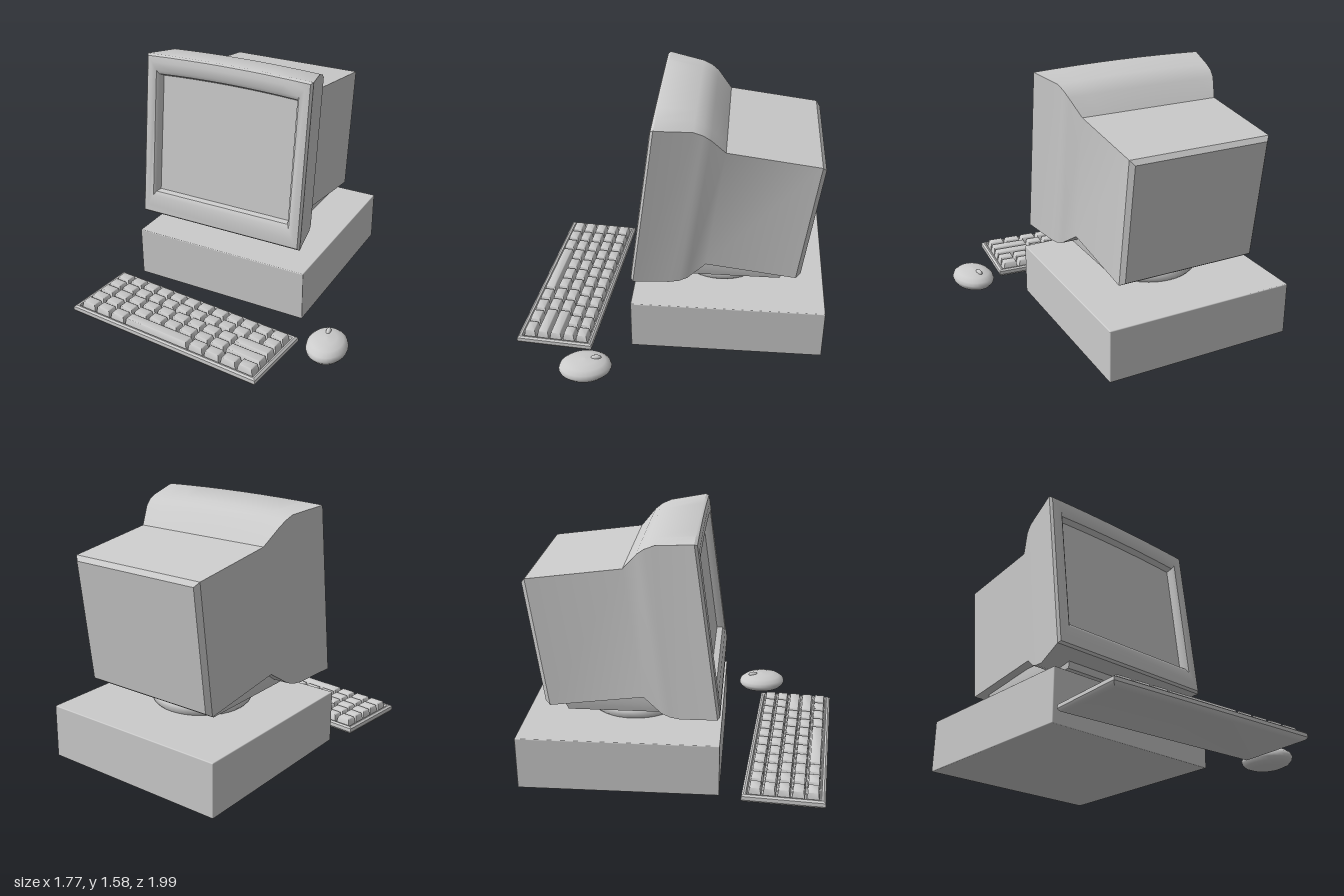
import * as THREE from 'three';
import { toCreasedNormals } from 'three/addons/utils/BufferGeometryUtils.js';
import { RoundedBoxGeometry } from 'three/addons/geometries/RoundedBoxGeometry.js';

const grey = new THREE.MeshStandardMaterial({ color: 0xcccccc });
const ARCH_STEPS = 8;

function add(parent, geometry, name, x = 0, y = 0, z = 0) {
  const mesh = new THREE.Mesh(geometry, grey);
  mesh.name = name;
  mesh.position.set(x, y, z);
  parent.add(mesh);
  return mesh;
}

// Rectangle outline at a given depth behind z = 0, with a gently arched top edge
function ring([depth, half, bottom, top, arch = 0]) {
  const pts = [[-half, bottom, -depth], [half, bottom, -depth]];
  for (let i = 0; i <= ARCH_STEPS; i++) {
    const t = 1 - (2 * i) / ARCH_STEPS;
    pts.push([half * t, top + arch * (1 - t * t), -depth]);
  }
  return pts;
}

// Skin a chain of outlines, optionally closing either end
function loft(sections, capStart, capEnd, crease = 0.6) {
  const rings = sections.map(ring);
  const n = rings[0].length;
  const index = [];
  for (let r = 0; r < rings.length - 1; r++) {
    for (let j = 0; j < n; j++) {
      const a = r * n + j, b = r * n + ((j + 1) % n);
      index.push(a, a + n, b + n, a, b + n, b);
    }
  }
  const last = (rings.length - 1) * n;
  for (let j = 1; j < n - 1; j++) {
    if (capStart) index.push(0, j, j + 1);
    if (capEnd) index.push(last, last + j + 1, last + j);
  }
  const g = new THREE.BufferGeometry();
  g.setAttribute('position', new THREE.Float32BufferAttribute(rings.flat(2), 3));
  g.setIndex(index);
  return toCreasedNormals(g, crease);
}

// Centred rectangular section at height y, for lofts laid flat
const flat = (y, halfW, halfD) => [-y, halfW, -halfD, halfD];

function createMonitor() {
  const monitor = new THREE.Group();
  monitor.name = 'monitor';
  const opening = [0.055, 0.478, 0.168, 0.948, 0.013];
  add(monitor, loft([
    opening,
    [0.018, 0.49, 0.157, 0.962, 0.015],
    [0.004, 0.505, 0.13, 0.985, 0.015],
    [0, 0.54, 0.06, 1.035, 0.015],
    [0.006, 0.572, 0.012, 1.072, 0.014],
    [0.022, 0.585, 0, 1.083, 0.013],
    [0.25, 0.525, -0.004, 1.084, 0.013],
    [0.31, 0.517, 0.01, 1.068, 0.01],
    [0.36, 0.505, 0.035, 1.04, 0.006],
    [0.462, 0.46, 0.131, 0.949],
    [1.04, 0.46, 0.133, 0.949],
    [1.068, 0.435, 0.158, 0.924],
  ], false, true), 'monitorCase');

  // Flat picture surface at the bottom of the recess
  const outline = ring(opening).map(([x, y]) => new THREE.Vector2(x, y));
  add(monitor, new THREE.ShapeGeometry(new THREE.Shape(outline)), 'screen', 0, 0, -opening[0]);

  monitor.position.set(-0.16, 0.5, 0.245);
  monitor.rotation.x = -0.13;
  return monitor;
}

function createKeyboard() {
  const keyboard = new THREE.Group();
  keyboard.name = 'keyboard';
  const tray = add(keyboard, loft([
    flat(0.03, 0.672, 0.22),
    flat(0.054, 0.678, 0.226),
    flat(0.057, 0.69, 0.238),
    flat(0.048, 0.703, 0.25),
    flat(0.025, 0.705, 0.252),
    flat(0.01, 0.695, 0.242),
    flat(0, 0.675, 0.222),
  ], true, true), 'keyboardTray');
  tray.rotation.x = -Math.PI / 2;

  // Key widths for each row, in units of a standard key
  const rows = [
    Array(12).fill(1),
    Array(12).fill(1),
    [...Array(9).fill(1.07), 2.37],
    [...Array(9).fill(1.07), 2.37],
    [1.08, 1.08, 1.08, 4.44, 1.08, 1.08, 1.08, 1.08],
  ];
  const unit = 1.336 / 12, pitch = 0.0872;
  rows.forEach((row, r) => {
    let x = -0.668;
    for (const size of row) {
      const w = (size * unit) / 2 - 0.005, d = pitch / 2 - 0.004;
      const key = add(keyboard, loft([
        flat(0.056, w - 0.014, d - 0.014),
        flat(0.052, w - 0.009, d - 0.008),
        flat(0, w, d),
      ], true, false, 0.9), 'key', x + (size * unit) / 2, 0.031, (r - 2) * pitch);
      key.rotation.x = -Math.PI / 2;
      x += size * unit;
    }
  });
  keyboard.position.set(-0.168, 0, 0.682);
  keyboard.rotation.y = -0.085;
  return keyboard;
}

function createMouse() {
  const mouse = new THREE.Group();
  mouse.name = 'mouse';
  const profile = [[0, 0.002], [0.6, 0.004], [0.85, 0.02], [0.97, 0.042], [1, 0.058],
    [0.95, 0.08], [0.77, 0.103], [0.45, 0.117], [0, 0.122]].map(([x, y]) => new THREE.Vector2(x, y));
  add(mouse, new THREE.LatheGeometry(profile, 28), 'mouseBody').scale.set(0.13, 1, 0.168);
  const button = add(mouse, new THREE.SphereGeometry(1, 14, 10), 'mouseButton', -0.007, 0.116, -0.07);
  button.scale.set(0.016, 0.018, 0.034);
  mouse.position.set(0.75, 0, 0.495);
  mouse.rotation.y = 0.2;
  return mouse;
}

export function createModel() {
  const model = new THREE.Group();
  model.name = 'desktopComputer';

  // Main case
  add(model, new RoundedBoxGeometry(1.235, 0.34, 1.24, 2, 0.006), 'computerCase', -0.158, 0.17, -0.38);

  // Swivel stand
  const disc = [[0, 0.335], [0.295, 0.335], [0.308, 0.35], [0.308, 0.385], [0.295, 0.4], [0, 0.4]]
    .map(([x, y]) => new THREE.Vector2(x, y));
  add(model, toCreasedNormals(new THREE.LatheGeometry(disc, 40), 0.9), 'standDisc', -0.16, 0, -0.325);
  add(model, new THREE.CylinderGeometry(0.178, 0.178, 0.06, 40), 'standNeck', -0.16, 0.425, -0.325);
  const plate = add(model, loft([
    flat(0.12, 0.4, 0.43), flat(0.05, 0.4, 0.415), flat(0, 0.39, 0.395),
  ], true, true), 'standPlate', -0.16, 0.44, -0.31);
  plate.rotation.x = -Math.PI / 2;

  model.add(createMonitor(), createKeyboard(), createMouse());
  return model;
}
